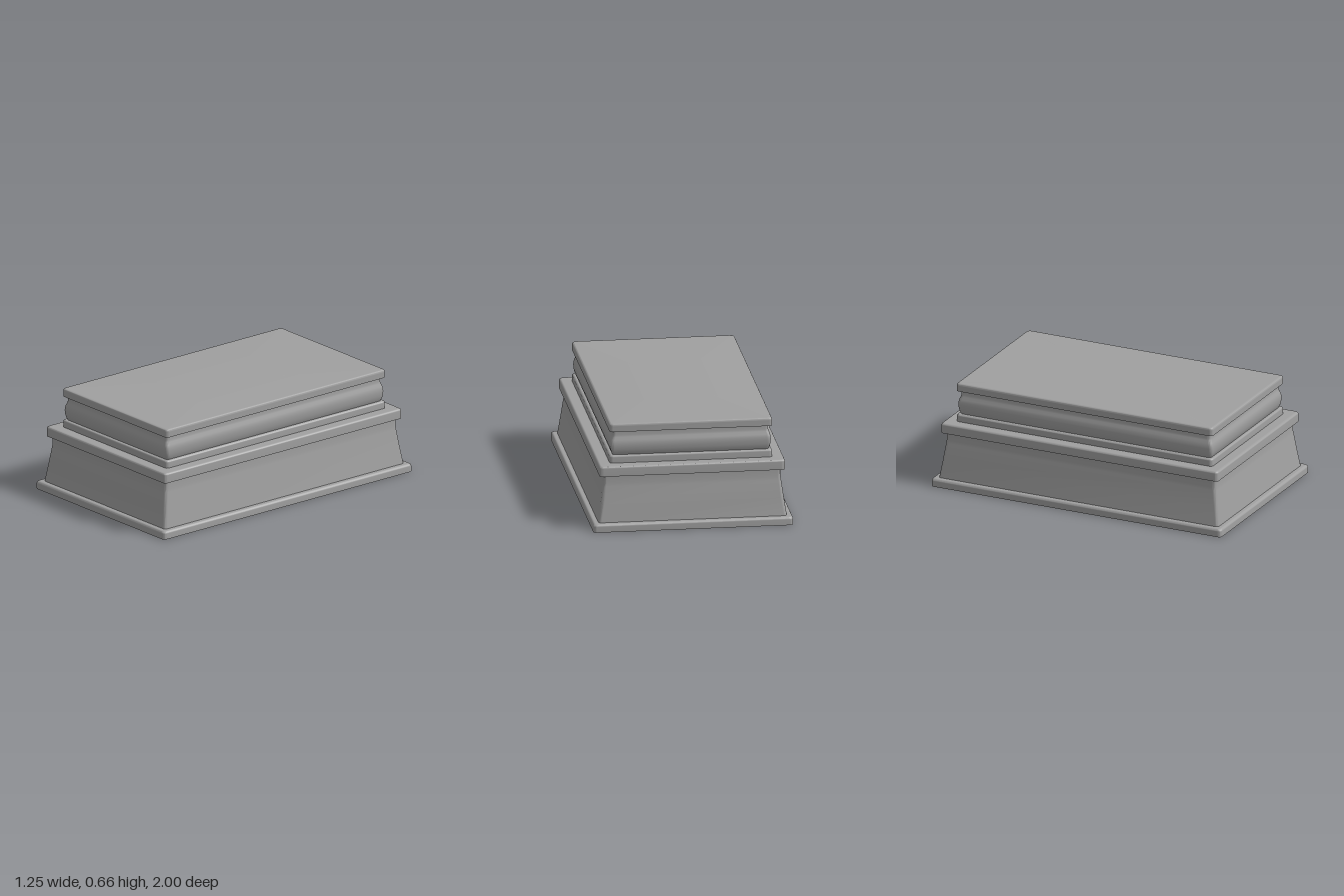
import * as THREE from 'three';
import { toCreasedNormals } from 'three/addons/utils/BufferGeometryUtils.js';

const DEPTH_EXTRA = 0.375; // half depth minus half width, the same at every level
const CORNER_STEPS = 4;

// Rounded rectangle of half width w at height y, counterclockwise from above
function ring(w, y, radius) {
  const d = w + DEPTH_EXTRA;
  const points = [];
  const support = 0.004; // extra points keep the long sides flat-shaded
  [[1, 1], [-1, 1], [-1, -1], [1, -1]].forEach(([sx, sz], q) => {
    const cx = sx * (w - radius), cz = sz * (d - radius);
    const at = (a, slide) => points.push([
      cx + radius * Math.cos(a) + slide * Math.sin(a),
      y,
      -(cz + radius * Math.sin(a) - slide * Math.cos(a)),
    ]);
    const start = q * Math.PI / 2;
    at(start, support);
    for (let i = 0; i <= CORNER_STEPS; i++) at(start + (i / CORNER_STEPS) * Math.PI / 2, 0);
    at(start + Math.PI / 2, -support);
  });
  return points;
}

// Closed solid through a profile of [half width, height], bottom to top
function loft(profile, radius) {
  const rings = profile.map(([w, y]) => ring(w, y, radius));
  const n = rings[0].length;
  const position = rings.flat(2);
  const index = [];
  for (let k = 0; k < rings.length - 1; k++) {
    for (let i = 0; i < n; i++) {
      const j = (i + 1) % n;
      const a = k * n + i, b = k * n + j;
      index.push(a, b, b + n, a, b + n, a + n);
    }
  }
  const bottom = rings.length * n, top = bottom + 1, last = (rings.length - 1) * n;
  position.push(0, profile[0][1], 0, 0, profile[profile.length - 1][1], 0);
  for (let i = 0; i < n; i++) {
    const j = (i + 1) % n;
    index.push(bottom, j, i, top, last + i, last + j);
  }
  const geometry = new THREE.BufferGeometry();
  geometry.setAttribute('position', new THREE.Float32BufferAttribute(position, 3));
  geometry.setIndex(index);
  return toCreasedNormals(geometry, 0.6);
}

// Slab profile with a rounded upper edge
function slabProfile(w, y0, y1, bevel) {
  const profile = [[w, y0], [w, y1 - bevel - 0.004]];
  for (let i = 0; i <= 4; i++) {
    const a = (i / 4) * Math.PI / 2;
    profile.push([w - bevel + bevel * Math.cos(a), y1 - bevel + bevel * Math.sin(a)]);
  }
  profile.push([w - bevel - 0.004, y1]);
  return profile;
}

export function createModel() {
  const group = new THREE.Group();
  const stone = new THREE.MeshStandardMaterial({ color: 0xa0a0a0 });
  stone.name = 'grey stone';

  const add = (name, profile, radius = 0.02) => {
    const mesh = new THREE.Mesh(loft(profile, radius), stone);
    mesh.name = name;
    group.add(mesh);
  };

  // Foot and tapering pedestal
  add('basePlinth', slabProfile(0.625, 0, 0.052, 0.016));
  add('taperedBody', [
    [0.59, 0.05], [0.573, 0.165], [0.558, 0.275], [0.555, 0.295], [0.555, 0.35],
  ]);
  add('lowerLedge', slabProfile(0.58, 0.347, 0.411, 0.013));

  // Upper tier with a swelling moulding between two slabs
  add('upperTierSlab', slabProfile(0.508, 0.41, 0.459, 0.012));
  add('swellingMoulding', [
    [0.488, 0.457], [0.495, 0.473], [0.5, 0.495], [0.502, 0.52], [0.501, 0.538],
    [0.497, 0.555], [0.49, 0.572], [0.487, 0.585], [0.487, 0.615],
  ]);
  add('topSlab', slabProfile(0.508, 0.612, 0.664, 0.012));

  return group;
}
